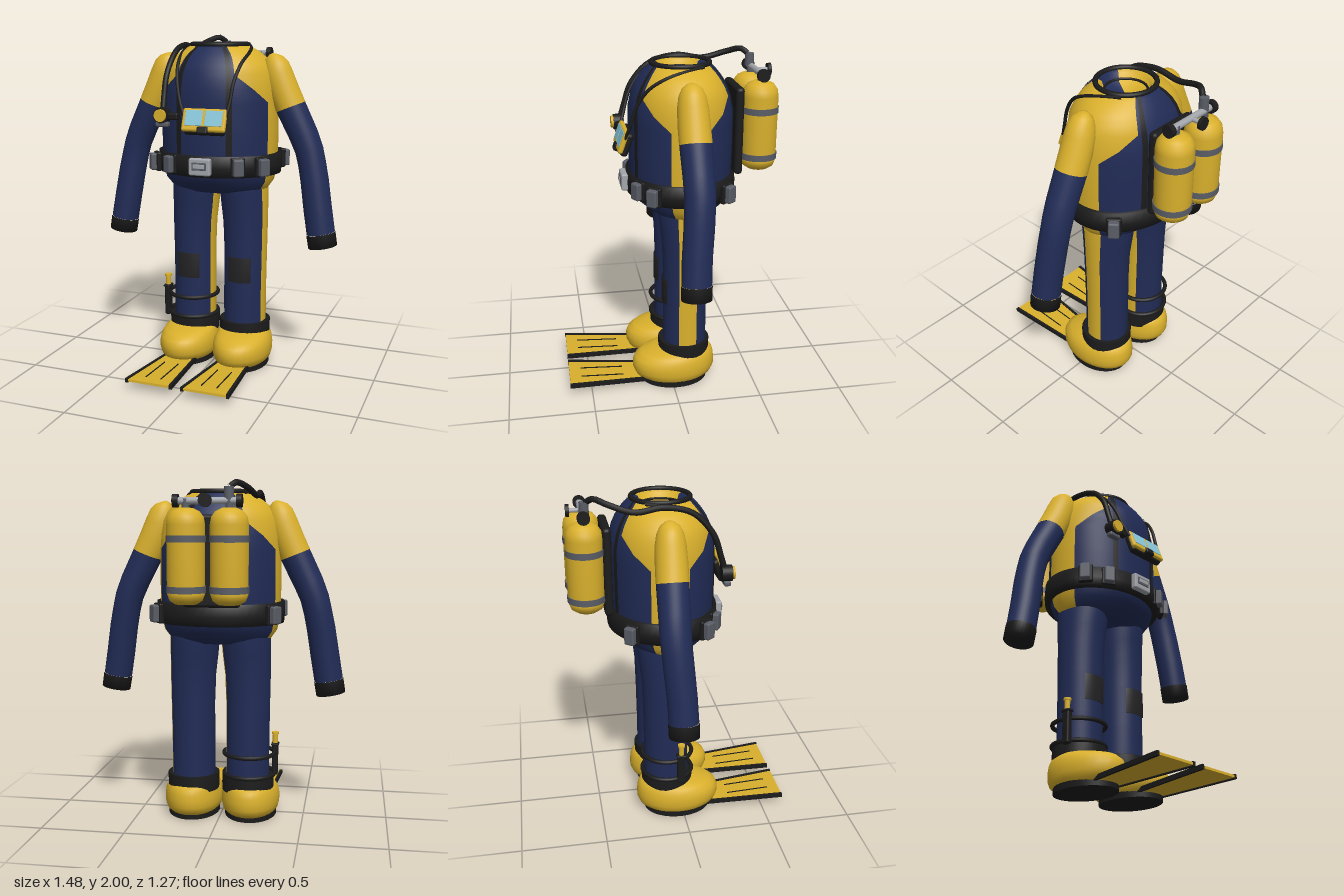
import * as THREE from 'three';
import { mergeVertices } from 'three/addons/utils/BufferGeometryUtils.js';
import { RoundedBoxGeometry } from 'three/addons/geometries/RoundedBoxGeometry.js';

const paint = (name, color, side = THREE.FrontSide) => {
  const m = new THREE.MeshStandardMaterial({ color, side });
  m.name = name;
  return m;
};

// Skin through elliptical rows [x, y, z, rx, rz, tilt], listed upwards, between two angles
function loft(rows, from = () => 0, to = () => Math.PI * 2, n = 32) {
  const pos = [], idx = [];
  rows.forEach(([x, y, z, rx, rz, tilt = 0], i) => {
    const a0 = from(y), a1 = to(y);
    for (let j = 0; j <= n; j++) {
      const a = a0 + (a1 - a0) * j / n, u = Math.cos(a) * rx;
      pos.push(x + u * Math.cos(tilt), y + u * Math.sin(tilt), z + Math.sin(a) * rz);
      if (i && j) {
        const q = i * (n + 1) + j, p = q - n - 1;
        idx.push(p - 1, q - 1, p, p, q - 1, q);
      }
    }
  });
  let g = new THREE.BufferGeometry();
  g.setAttribute('position', new THREE.Float32BufferAttribute(pos, 3));
  g.setIndex(idx);
  g = mergeVertices(g, 1e-4);
  g.computeVertexNormals();
  return g;
}

// Flat plate from an outline in x and z, top at y = 0
function slab(points, depth) {
  const shape = new THREE.Shape(points.map(p => new THREE.Vector2(...p)));
  return new THREE.ExtrudeGeometry(shape, { depth, bevelEnabled: false }).rotateX(Math.PI / 2);
}

const tube = (points, r) => new THREE.TubeGeometry(
  new THREE.CatmullRomCurve3(points.map(p => new THREE.Vector3(...p))), 40, r, 10);
const cyl = (r, h, n = 24) => new THREE.CylinderGeometry(r, r, h, n);
const box = (w, h, d, r = 0.01) => new RoundedBoxGeometry(w, h, d, 2, r);

export function createModel() {
  const yellow = paint('yellow', 0xd9b02c), navy = paint('navy', 0x212c56);
  const black = paint('black rubber', 0x1b1b1c), patchGrey = paint('knee patch', 0x232325);
  const steel = paint('dark steel', 0x5a5d66), silver = paint('silver', 0xa3a6ab);
  const glass = paint('lens blue', 0x88c6da);

  const model = new THREE.Group();
  model.name = 'divingSuit';
  const add = (name, geo, mat, x = 0, y = 0, z = 0, parent = model) => {
    const m = new THREE.Mesh(geo, mat);
    m.name = name;
    m.position.set(x, y, z);
    parent.add(m);
    return m;
  };
  const PI = Math.PI, CZ = -0.085;

  // Torso: yellow sides widening into a yoke, navy chest and back
  const torso = [
    [1.065, 0, 0], [1.075, 0.25, 0.15], [1.1, 0.3, 0.2], [1.15, 0.335, 0.26], [1.22, 0.35, 0.293],
    [1.32, 0.355, 0.3], [1.45, 0.357, 0.302], [1.62, 0.355, 0.302], [1.7, 0.35, 0.3], [1.78, 0.337, 0.282],
    [1.83, 0.313, 0.26], [1.87, 0.282, 0.234], [1.9, 0.245, 0.21], [1.925, 0.2, 0.185], [1.945, 0.165, 0.165],
    [1.93, 0.13, 0.135], [1.88, 0.115, 0.12], [1.86, 0, 0],
  ].map(([y, rx, rz]) => [0, y, CZ, rx, rz]);
  const half = y => 0.36 + 0.67 * THREE.MathUtils.clamp((y - 1.62) / 0.16, 0, 1);
  add('leftSidePanel', loft(torso, y => -half(y), half), yellow);
  add('chestPanel', loft(torso, half, y => PI - half(y)), navy);
  add('rightSidePanel', loft(torso, y => PI - half(y), y => PI + half(y)), yellow);
  add('backPanel', loft(torso, y => PI + half(y), y => 2 * PI - half(y)), navy);

  // Collar rings
  add('collar', new THREE.TorusGeometry(0.166, 0.015, 10, 40).rotateX(PI / 2), black, 0, 1.945, CZ);
  add('innerCollar', new THREE.TorusGeometry(0.117, 0.007, 8, 32).rotateX(PI / 2), black, 0, 1.9, CZ);

  // Harness straps hugging the torso
  const strapRows = torso.slice(5, 15).map(([x, y, z, rx, rz]) => [x, y, z, rx + 0.006, rz + 0.006]);
  for (const a of [1.13, PI - 1.13, PI + 1.13, -1.13])
    add('harnessStrap', loft(strapRows, () => a - 0.05, () => a + 0.05, 4), black);

  // Weight belt, weights and buckle
  const belt = [[1.195, 0.34, 0.285], [1.195, 0.375, 0.318], [1.25, 0.381, 0.324], [1.318, 0.378, 0.32], [1.318, 0.34, 0.285]];
  add('belt', loft(belt.map(([y, rx, rz]) => [0, y, CZ, rx, rz]), undefined, undefined, 48), black);
  for (const s of [-1, 1])
    for (const [x, z] of [[0.215, 0.2], [0.345, 0.13], [0.345, -0.312]]) {
      const weight = new THREE.Group();
      weight.name = 'beltWeight';
      weight.position.set(s * x, 1.258, z);
      weight.rotation.y = Math.atan2(s * x, (z - CZ) * 1.25);
      model.add(weight);
      add('weightBlock', box(0.062, 0.1, 0.045), steel, 0, 0, 0, weight);
      add('weightLoop', box(0.085, 0.115, 0.03), black, 0, 0, -0.025, weight);
    }
  add('buckle', box(0.13, 0.1, 0.04), silver, 0, 1.26, 0.25);
  add('buckleSlot', box(0.09, 0.045, 0.008, 0.003), steel, 0, 1.265, 0.27);
  add('buckleBar', box(0.07, 0.025, 0.008, 0.003), silver, 0, 1.265, 0.275);

  for (const s of [-1, 1]) {
    const side = s > 0 ? 'left' : 'right';
    const mirror = rows => rows.map(([x, y, z, rx, rz, t = 0]) => [s * x, y, z, rx, rz, s * t]);

    // Arm: cuff, navy sleeve, yellow shoulder
    add(side + 'Cuff', loft(mirror([[0.655, 0.778, -0.065, 0, 0, 0.18], [0.655, 0.773, -0.065, 0.086, 0.086, 0.18],
      [0.641, 0.855, -0.066, 0.087, 0.087, 0.18]])), black);
    add(side + 'Sleeve', loft(mirror([[0.641, 0.855, -0.066, 0.084, 0.084, 0.18], [0.617, 1, -0.072, 0.084, 0.084, 0.17],
      [0.592, 1.16, -0.085, 0.083, 0.085, 0.18], [0.572, 1.26, -0.092, 0.082, 0.085, 0.22],
      [0.552, 1.34, -0.096, 0.083, 0.086, 0.27], [0.515, 1.43, -0.095, 0.086, 0.087, 0.35],
      [0.437, 1.588, -0.092, 0.089, 0.089, 0.38]])), navy);
    add(side + 'Shoulder', loft(mirror([[0.437, 1.588, -0.092, 0.09, 0.09, 0.38], [0.395, 1.68, -0.09, 0.09, 0.089, 0.38],
      [0.36, 1.77, -0.089, 0.087, 0.085, 0.34], [0.344, 1.83, -0.088, 0.076, 0.074, 0.28],
      [0.334, 1.87, -0.088, 0.053, 0.054, 0.2], [0.327, 1.89, -0.088, 0.024, 0.026, 0.1],
      [0.325, 1.898, -0.088, 0, 0]])), yellow);

    // Leg, with the yellow stripe always on the +x side
    const leg = mirror([[0.166, 0.2, -0.09, 0.13, 0.132], [0.165, 0.45, -0.09, 0.13, 0.132], [0.167, 0.7, -0.092, 0.131, 0.133],
      [0.165, 0.88, -0.092, 0.136, 0.138], [0.158, 1.0, -0.093, 0.143, 0.15], [0.154, 1.09, -0.093, 0.147, 0.162],
      [0.15, 1.16, -0.093, 0.146, 0.165]]);
    add(side + 'Leg', loft(leg, () => 0.42, () => 2 * PI - 0.42), navy);
    add(side + 'LegStripe', loft(leg, () => -0.42, () => 0.42, 8), yellow);
    const knee = leg.slice(1, 3).map(([x, y, z, rx, rz], i) => [x, i ? 0.68 : 0.525, z, rx + 0.008, rz + 0.008]);
    add(side + 'KneePatch', loft([[...knee[0].slice(0, 3), 0.125, 0.125], ...knee, [...knee[1].slice(0, 3), 0.125, 0.125]],
      () => 1.02, () => PI - 1.02, 12), patchGrey);

    // Boot with ankle collar and sole
    add(side + 'AnkleCollar', loft(mirror([[0.167, 0.17, -0.085, 0.155, 0.155], [0.167, 0.265, -0.085, 0.157, 0.157],
      [0.167, 0.27, -0.085, 0.15, 0.15], [0.167, 0.265, -0.085, 0.12, 0.12]])), black);
    add(side + 'Boot', loft(mirror([[0.176, 0.03, -0.022, 0.15, 0.205], [0.176, 0.05, -0.02, 0.167, 0.237],
      [0.176, 0.085, -0.02, 0.176, 0.253], [0.176, 0.125, -0.02, 0.176, 0.254], [0.176, 0.16, -0.025, 0.17, 0.245],
      [0.174, 0.188, -0.04, 0.158, 0.222], [0.17, 0.207, -0.065, 0.145, 0.18], [0.17, 0.218, -0.08, 0.12, 0.14]])), yellow);
    add(side + 'Sole', cyl(1, 0.04, 36).scale(0.157, 1, 0.205), black, s * 0.176, 0.022, -0.022);

    // Fin: blade, side rails and ribs
    const fin = new THREE.Group();
    fin.name = side + 'Fin';
    fin.position.set(s * 0.171, 0.04, 0);
    fin.rotation.x = -0.05;
    model.add(fin);
    add('finBlade', slab([[-0.09, 0.1], [0.09, 0.1], [0.138, 0.63], [-0.138, 0.63]], 0.014), yellow, 0, 0, 0, fin);
    for (const e of [-1, 1]) {
      add('finRail', slab([[e * 0.083, 0.1], [e * 0.097, 0.1], [e * 0.144, 0.632], [e * 0.127, 0.632]], 0.026), black, 0, 0.006, 0, fin);
      add('finRib', slab([[e * 0.042, 0.3], [e * 0.047, 0.3], [e * 0.049, 0.56], [e * 0.044, 0.56]], 0.006), black, 0, 0.005, 0, fin);
    }

    // Air tank with bands, valve stem and manifold knob
    const tank = [[0, 0], [0.06, 0.005], [0.09, 0.025], [0.103, 0.06], [0.104, 0.43], [0.097, 0.47], [0.075, 0.5], [0.04, 0.517], [0, 0.52]];
    const tx = s * 0.118;
    add(side + 'Tank', new THREE.LatheGeometry(tank.map(p => new THREE.Vector2(...p)), 32), yellow, tx, 1.33, -0.528);
    for (const y of [1.415, 1.685]) add('tankBand', cyl(0.108, 0.036, 32), steel, tx, y, -0.528);
    add('valveStem', cyl(0.02, 0.07, 16), steel, tx, 1.86, -0.528);
    add('valveKnob', cyl(0.036, 0.03, 16).rotateZ(PI / 2), black, s * 0.172, 1.885, -0.528);
  }

  // Back plate and manifold
  add('backPlate', box(0.32, 0.51, 0.05, 0.02), black, 0, 1.56, -0.405);
  add('manifoldBar', cyl(0.019, 0.33, 16).rotateZ(PI / 2), silver, 0, 1.885, -0.528);
  add('centreValve', cyl(0.013, 0.075, 12).rotateX(PI / 2), silver, 0, 1.885, -0.565);
  add('centreKnob', cyl(0.036, 0.02, 16).rotateX(PI / 2), black, 0, 1.885, -0.605);
  add('firstStage', cyl(0.027, 0.07, 16), steel, -0.115, 1.925, -0.52);

  // Air hose over the right shoulder to the regulator
  add('airHose', tube([[-0.115, 1.955, -0.51], [-0.145, 1.982, -0.475], [-0.195, 1.96, -0.4], [-0.23, 1.92, -0.26],
    [-0.232, 1.94, -0.1], [-0.228, 1.9, 0.06], [-0.235, 1.78, 0.17], [-0.235, 1.65, 0.215], [-0.23, 1.55, 0.245]], 0.017), black);
  add('regulatorBody', cyl(0.046, 0.06).rotateX(PI / 2), black, -0.23, 1.55, 0.25);
  add('regulatorCover', cyl(0.036, 0.02).rotateX(PI / 2), yellow, -0.23, 1.55, 0.285);
  add('mouthpiece', box(0.08, 0.04, 0.04), black, -0.17, 1.545, 0.25);
  add('exhaust', box(0.08, 0.03, 0.04), steel, -0.23, 1.497, 0.25);

  // Mask hanging on the chest
  const mask = new THREE.Group();
  mask.name = 'mask';
  mask.position.set(0.032, 1.525, 0.265);
  mask.rotation.x = -0.35;
  model.add(mask);
  add('maskSkirt', box(0.25, 0.14, 0.045, 0.02), black, 0, -0.005, -0.025, mask);
  add('maskFrame', box(0.265, 0.135, 0.03, 0.014), yellow, 0, 0.005, 0, mask);
  for (const s of [-1, 1]) add('lens', box(0.105, 0.09, 0.008, 0.003), glass, s * 0.06, 0.014, 0.014, mask);
  add('noseCover', box(0.065, 0.045, 0.035), black, 0, -0.056, 0.008, mask);
  add('leftMaskStrap', tube([[0.15, 1.94, -0.19], [0.195, 1.925, -0.08], [0.215, 1.9, 0.02], [0.2, 1.84, 0.12],
    [0.18, 1.74, 0.19], [0.17, 1.63, 0.225], [0.155, 1.55, 0.255]], 0.01), black);
  add('rightMaskStrap', tube([[-0.15, 1.94, -0.19], [-0.185, 1.93, -0.08], [-0.19, 1.91, 0.02], [-0.18, 1.84, 0.13],
    [-0.16, 1.74, 0.195], [-0.13, 1.63, 0.23], [-0.095, 1.55, 0.255]], 0.01), black);

  // Knife strapped to the right calf
  for (const y of [0.275, 0.4])
    add('knifeStrap', new THREE.TorusGeometry(0.152, 0.013, 8, 36).rotateX(PI / 2), black, -0.175, y, -0.085);
  add('knifeSheath', box(0.035, 0.19, 0.05), black, -0.325, 0.345, -0.02);
  add('knifeGuard', box(0.045, 0.015, 0.06, 0.005), black, -0.325, 0.44, -0.02);
  add('knifeHandle', cyl(0.016, 0.07, 12), yellow, -0.325, 0.475, -0.02);
  add('knifePommel', cyl(0.022, 0.014, 12), yellow, -0.325, 0.508, -0.02);
  return model;
}
